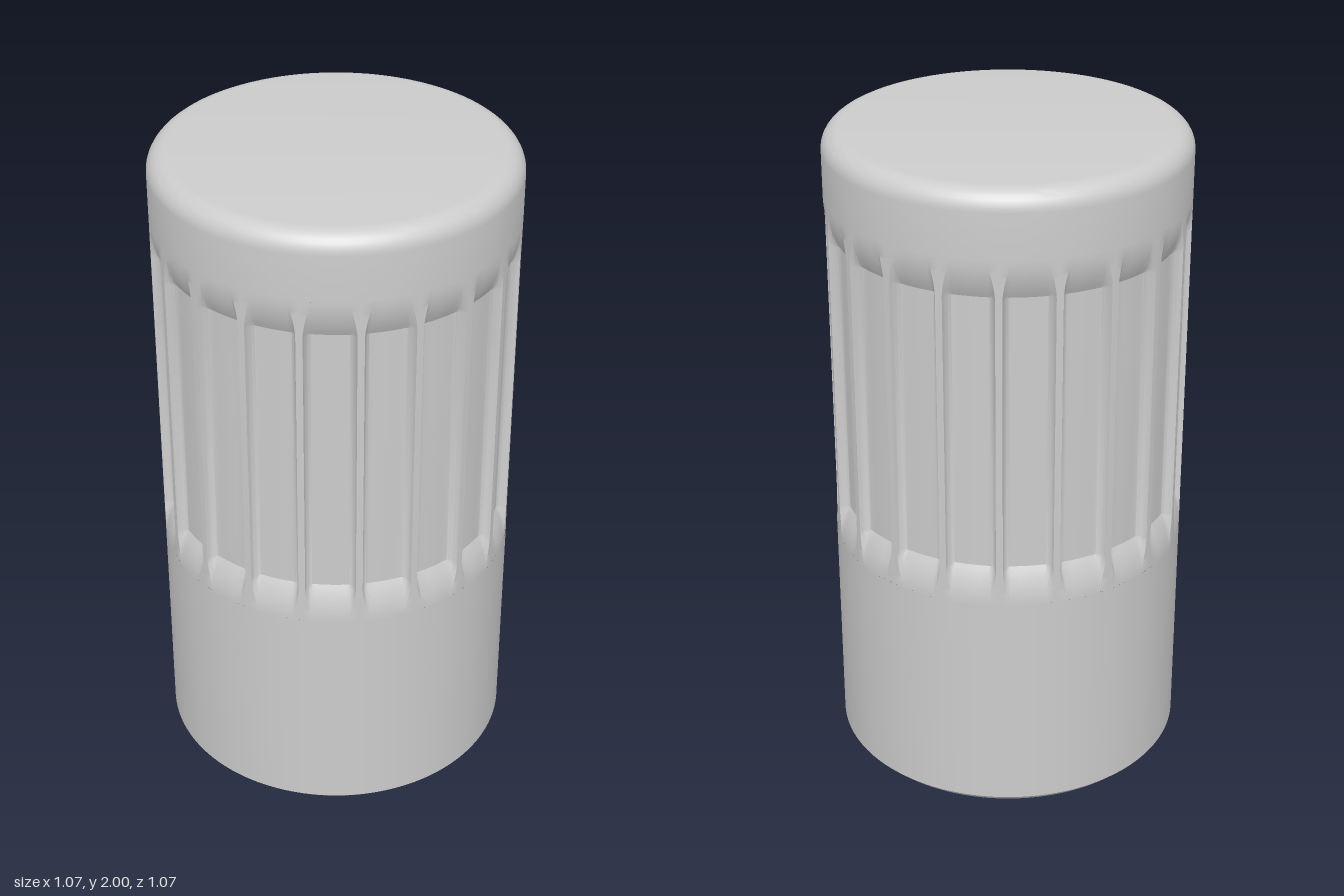
import * as THREE from 'three';
import { toCreasedNormals } from 'three/addons/utils/BufferGeometryUtils.js';

const R = 0.533;               // outer radius
const DEPTH = 0.03;            // flute depth
const FLUTES = 20;
const LOW = 0.72, HIGH = 1.8;  // ends of the fluted zone
const RUNOUT = 0.115;          // height of the curved run-out at each flute end
const CREASE = 0.42;

const material = new THREE.MeshStandardMaterial({ color: 0xcccccc });

function addMesh(group, name, geometry) {
  const mesh = new THREE.Mesh(toCreasedNormals(geometry, CREASE), material);
  mesh.name = name;
  group.add(mesh);
}

function lathe(points) {
  return new THREE.LatheGeometry(points.map(([x, y]) => new THREE.Vector2(x, y)), 160);
}

// One horizontal section of the grip; t is 0 at a flute's tip and 1 at full depth
function gripSection(t) {
  const pitch = (2 * Math.PI) / FLUTES;
  const half = pitch / 2 - 0.01 / R;   // half angle of a flute, leaving a narrow ridge
  const flat = 0.7, steps = 6;
  const depth = DEPTH * t * t;
  const sweep = Math.acos(1 - t * t);  // how much of the side fillet lies below the surface
  const side = [];
  for (let i = steps; i >= 0; i--) {
    const a = (sweep * i) / steps;
    side.push([half * (flat + (1 - flat) * Math.sin(a)), R - depth + DEPTH * (1 - Math.cos(a))]);
  }
  const floor = [-0.35, 0, 0.35].map((u) => [u * half, R - depth]);
  const flute = [
    [-pitch / 2, R],
    ...side.map(([a, r]) => [-a, r]),
    ...floor,
    ...side.slice().reverse(),
  ];
  const section = [];
  for (let k = 0; k < FLUTES; k++) {
    for (const [a, r] of flute) section.push([(k + 0.5) * pitch + a, r]);
  }
  return section;
}

// Fluted grip, lofted through the sections
function gripGeometry() {
  const rows = [], n = 10;
  for (let i = 0; i <= n; i++) rows.push([LOW + (RUNOUT * i) / n, i / n]);
  for (let i = n; i >= 0; i--) rows.push([HIGH - (RUNOUT * i) / n, i / n]);

  const positions = [], index = [];
  let count = 0;
  rows.forEach(([y, t], j) => {
    const section = gripSection(t);
    count = section.length;
    for (const [a, r] of section) positions.push(r * Math.sin(a), y, r * Math.cos(a));
    if (j === 0) return;
    for (let i = 0; i < count; i++) {
      const a = (j - 1) * count + i, b = (j - 1) * count + ((i + 1) % count);
      index.push(a, b, b + count, a, b + count, a + count);
    }
  });
  const geometry = new THREE.BufferGeometry();
  geometry.setAttribute('position', new THREE.Float32BufferAttribute(positions, 3));
  geometry.setIndex(index);
  return geometry;
}

export function createModel() {
  const group = new THREE.Group();
  group.name = 'flutedKnob';

  // Plain lower body with a chamfered foot and a stepped bore underneath
  addMesh(group, 'lowerBody', lathe([
    [0, 0.8], [0.107, 0.8], [0.107, 0.075], [0.17, 0.075], [0.17, 0],
    [R - 0.025, 0], [R, 0.025], [R, LOW],
  ]));

  addMesh(group, 'flutedGrip', gripGeometry());

  // Cap with a rounded top edge
  const fillet = 0.06, cap = [[R, HIGH]];
  for (let i = 0; i <= 8; i++) {
    const a = (i / 8) * (Math.PI / 2);
    cap.push([R - fillet + fillet * Math.cos(a), 2 - fillet + fillet * Math.sin(a)]);
  }
  cap.push([0, 2]);
  addMesh(group, 'cap', lathe(cap));

  return group;
}
